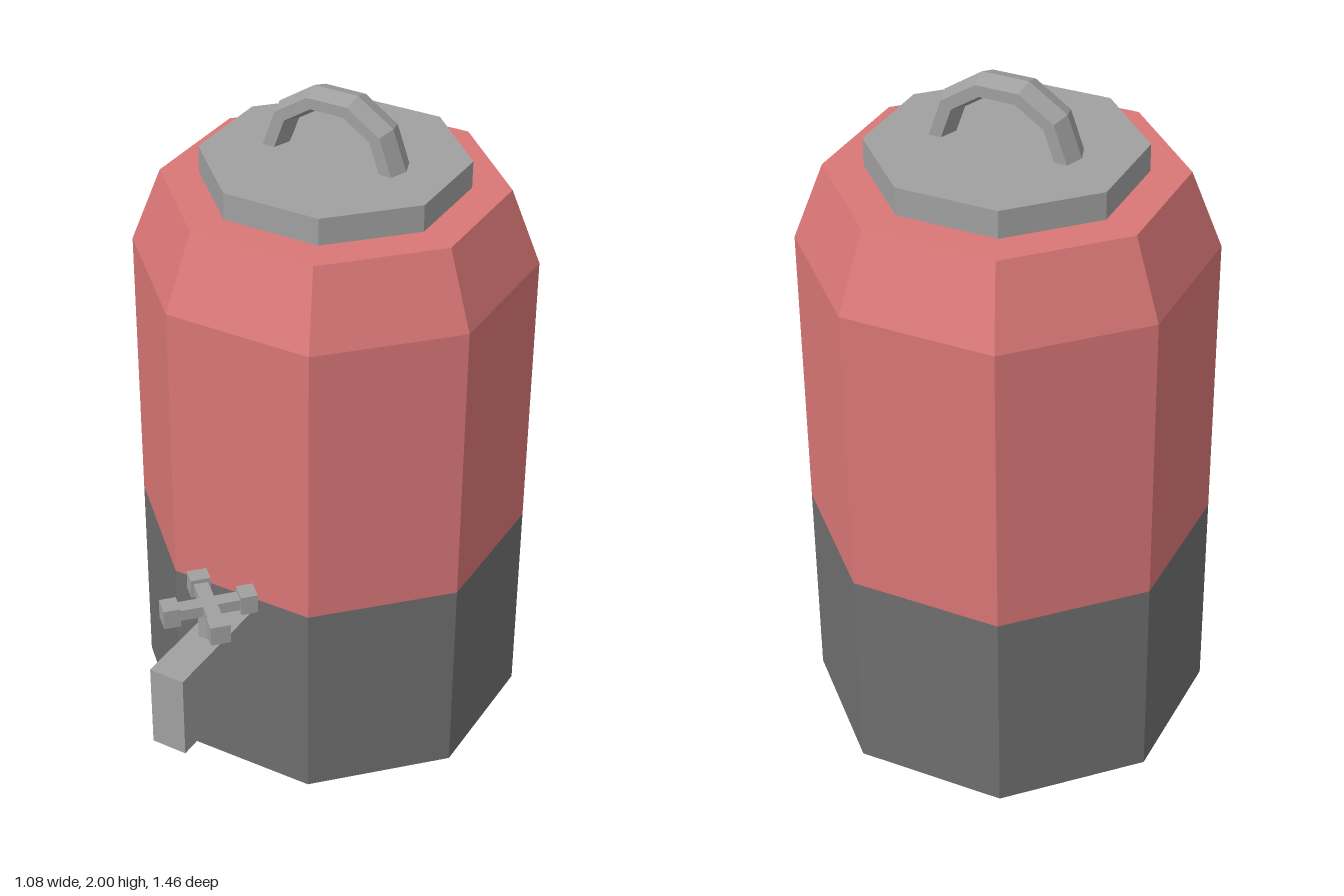
import * as THREE from 'three';

const paint = (color) => new THREE.MeshStandardMaterial({ color, flatShading: true });

export function createModel() {
  const red = paint(0xd97676), steel = paint(0xa0a0a0), dark = paint(0x6e6e6e);
  const model = new THREE.Group();
  model.name = 'drinkDispenser';

  const add = (parent, name, geometry, material, x = 0, y = 0, z = 0) => {
    const mesh = new THREE.Mesh(geometry, material);
    mesh.name = name;
    mesh.position.set(x, y, z);
    parent.add(mesh);
    return mesh;
  };

  // Octagonal tank sections stacked on one axis, turned slightly off square
  const tank = new THREE.Group();
  tank.name = 'tank';
  tank.position.z = -0.185;
  model.add(tank);
  const turn = THREE.MathUtils.degToRad(23.3);
  const section = (name, rBottom, rTop, y0, y1, material, open = false) =>
    add(tank, name, new THREE.CylinderGeometry(rTop, rBottom, y1 - y0, 8, 1, open, turn),
      material, 0, (y0 + y1) / 2);
  section('base', 0.582, 0.582, 0, 0.635, dark);
  section('body', 0.582, 0.582, 0.635, 1.505, red, true);
  section('shoulder', 0.582, 0.495, 1.505, 1.73, red);
  section('lid', 0.383, 0.383, 1.73, 1.81, steel);

  // Arched lid handle with a flattened hexagonal cross-section
  const handle = add(tank, 'lidHandle', new THREE.TorusGeometry(0.185, 0.037, 6, 5, Math.PI), steel, 0, 1.81, -0.003);
  handle.scale.set(1, 0.9, 1.64);

  // L-shaped spout: profile drawn in z and y, extruded across x
  const tap = new THREE.Group();
  tap.name = 'tap';
  model.add(tap);
  const profile = new THREE.Shape([
    [0.34, 0.48], [0.62, 0.48], [0.62, 0.335], [0.73, 0.335], [0.73, 0.595], [0.34, 0.595],
  ].map(([z, y]) => new THREE.Vector2(z, y)));
  const spout = new THREE.ExtrudeGeometry(profile, { depth: 0.108, bevelEnabled: false });
  spout.translate(0, 0, -0.054).rotateY(-Math.PI / 2);
  add(tap, 'spout', spout, steel, -0.003);

  // Valve stem and four-armed knob
  add(tap, 'valveStem', new THREE.BoxGeometry(0.04, 0.1, 0.04), steel, -0.002, 0.64, 0.515);
  const knob = new THREE.Group();
  knob.name = 'valveKnob';
  knob.position.set(-0.002, 0.692, 0.509);
  knob.rotation.y = THREE.MathUtils.degToRad(47);
  tap.add(knob);
  for (let i = 0; i < 4; i++) {
    const arm = new THREE.Group();
    arm.name = 'knobArm';
    arm.rotation.y = i * Math.PI / 2;
    knob.add(arm);
    add(arm, 'armBar', new THREE.BoxGeometry(0.1, 0.035, 0.042), steel, 0.05);
    add(arm, 'armTip', new THREE.BoxGeometry(0.049, 0.06, 0.058), steel, 0.112);
  }
  return model;
}
